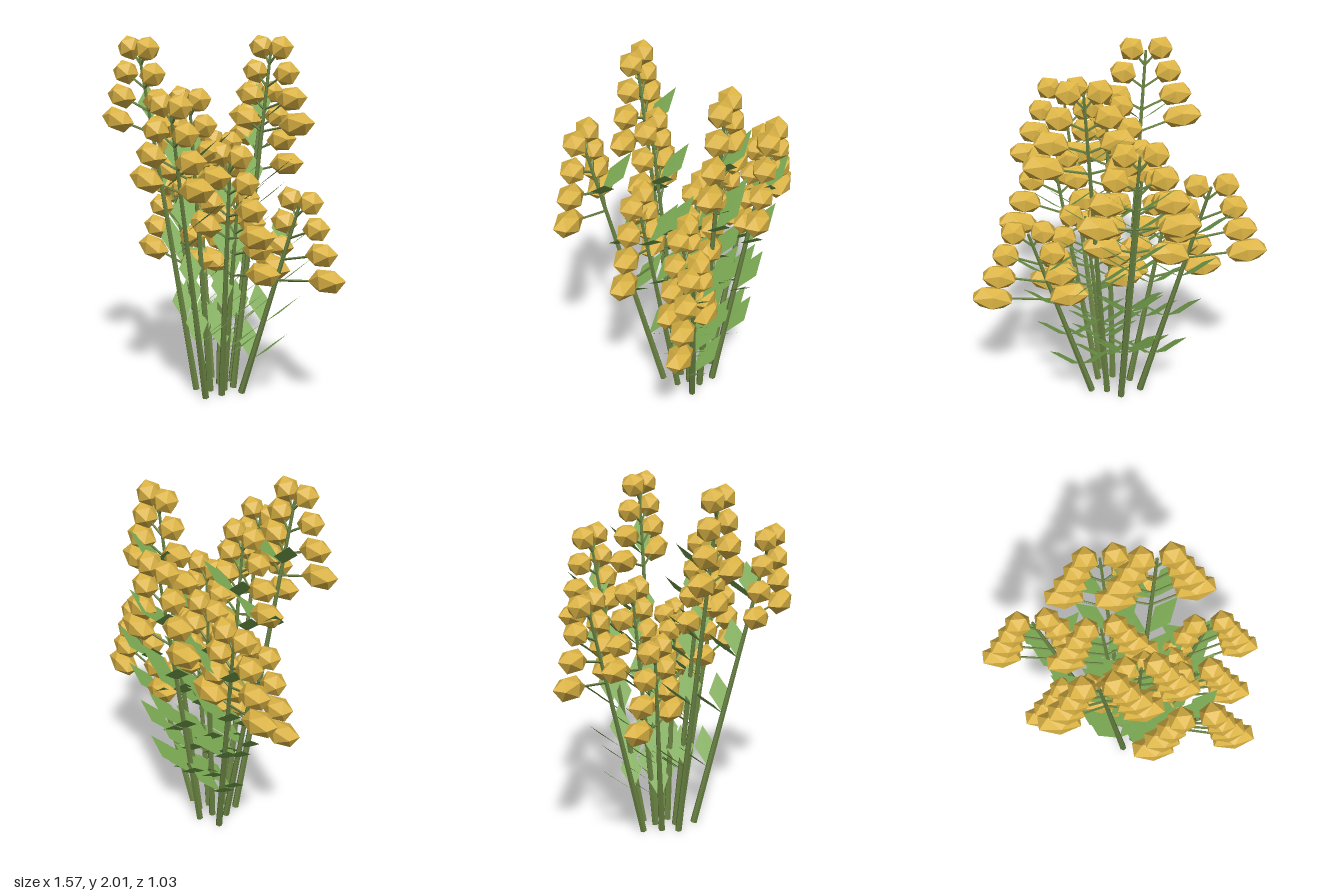
import * as THREE from 'three';

const stemMat = new THREE.MeshStandardMaterial({ name: 'stem green', color: 0x6a8343 });
const leafMat = new THREE.MeshStandardMaterial({ name: 'leaf green', color: 0x78a550, side: THREE.DoubleSide });
const budMat = new THREE.MeshStandardMaterial({ name: 'bud gold', color: 0xdcb445 });

// Sprig tips: x, height of the top pair of buds, z
const SPRIGS = [
  [-0.20, 1.94, 0.325], [0.17, 1.94, -0.285],
  [0.25, 1.68, 0.455], [-0.09, 1.68, -0.46], [0.025, 1.68, 0.16],
  [0.32, 1.41, 0.125], [-0.48, 1.41, -0.28], [-0.13, 1.41, -0.19],
  [0.47, 1.15, -0.235], [-0.30, 1.15, 0.02], [0.16, 1.15, -0.065],
];

// Bud pairs from the top down: distance from the axis and stretch along x
const BUDS = [[0.077, 1.06], [0.123, 1.15], [0.165, 1.45], [0.208, 1.75]];
const LEVEL_GAP = 0.132;

const budGeo = new THREE.IcosahedronGeometry(0.07, 0);

// Diamond leaf rising outward (side = 1 or -1) from its base at the origin
function leafGeometry(side) {
  const p = [0, 0, 0, side * 0.125, 0.09, -0.005, side * 0.18, 0.18, -0.11, side * 0.06, 0.09, -0.11];
  const geo = new THREE.BufferGeometry();
  geo.setAttribute('position', new THREE.Float32BufferAttribute(p, 3));
  geo.setIndex(side > 0 ? [0, 1, 2, 0, 2, 3] : [0, 2, 1, 0, 3, 2]);
  geo.computeVertexNormals();
  return geo;
}
const leafGeos = { '1': leafGeometry(1), '-1': leafGeometry(-1) };

// Faceted tapered rod between two points
function rod(name, a, b, r0, r1, sides) {
  const dir = b.clone().sub(a);
  const geo = new THREE.CylinderGeometry(r1, r0, dir.length(), sides).toNonIndexed();
  geo.computeVertexNormals();
  const mesh = new THREE.Mesh(geo, stemMat);
  mesh.name = name;
  mesh.position.copy(a).add(b).multiplyScalar(0.5);
  mesh.quaternion.setFromUnitVectors(new THREE.Vector3(0, 1, 0), dir.normalize());
  return mesh;
}

function createSprig([x, top, z]) {
  const sprig = new THREE.Group();
  sprig.name = 'sprig';
  const base = new THREE.Vector3(x * 0.3, 0.004, z * 0.3 - 0.045);
  const tip = new THREE.Vector3(x, top - 0.01, z);
  const onStem = (y) => base.clone().lerp(tip, y / tip.y);
  sprig.add(rod('stem', base, tip, 0.02, 0.008, 6));

  for (const side of [-1, 1]) {
    // Leaves at four heights
    for (let i = 0; i < 4; i++) {
      const leaf = new THREE.Mesh(leafGeos[side], leafMat);
      leaf.name = 'leaf';
      leaf.position.copy(onStem(top * (0.256 + i * 0.196) - 0.088));
      sprig.add(leaf);
    }
    // Buds on short branches
    BUDS.forEach(([offset, stretch], i) => {
      const y = top - i * LEVEL_GAP;
      const bud = new THREE.Mesh(budGeo, budMat);
      bud.name = 'bud';
      bud.position.set(x + side * offset, y, z);
      bud.scale.x = stretch;
      bud.rotation.z = side * 0.14;
      sprig.add(bud);
      sprig.add(rod('branch', onStem(y - 0.09 + i * 0.01), bud.position, 0.007, 0.006, 5));
    });
  }
  return sprig;
}

export function createModel() {
  const model = new THREE.Group();
  model.name = 'flowering plant';
  SPRIGS.forEach((s) => model.add(createSprig(s)));
  return model;
}
